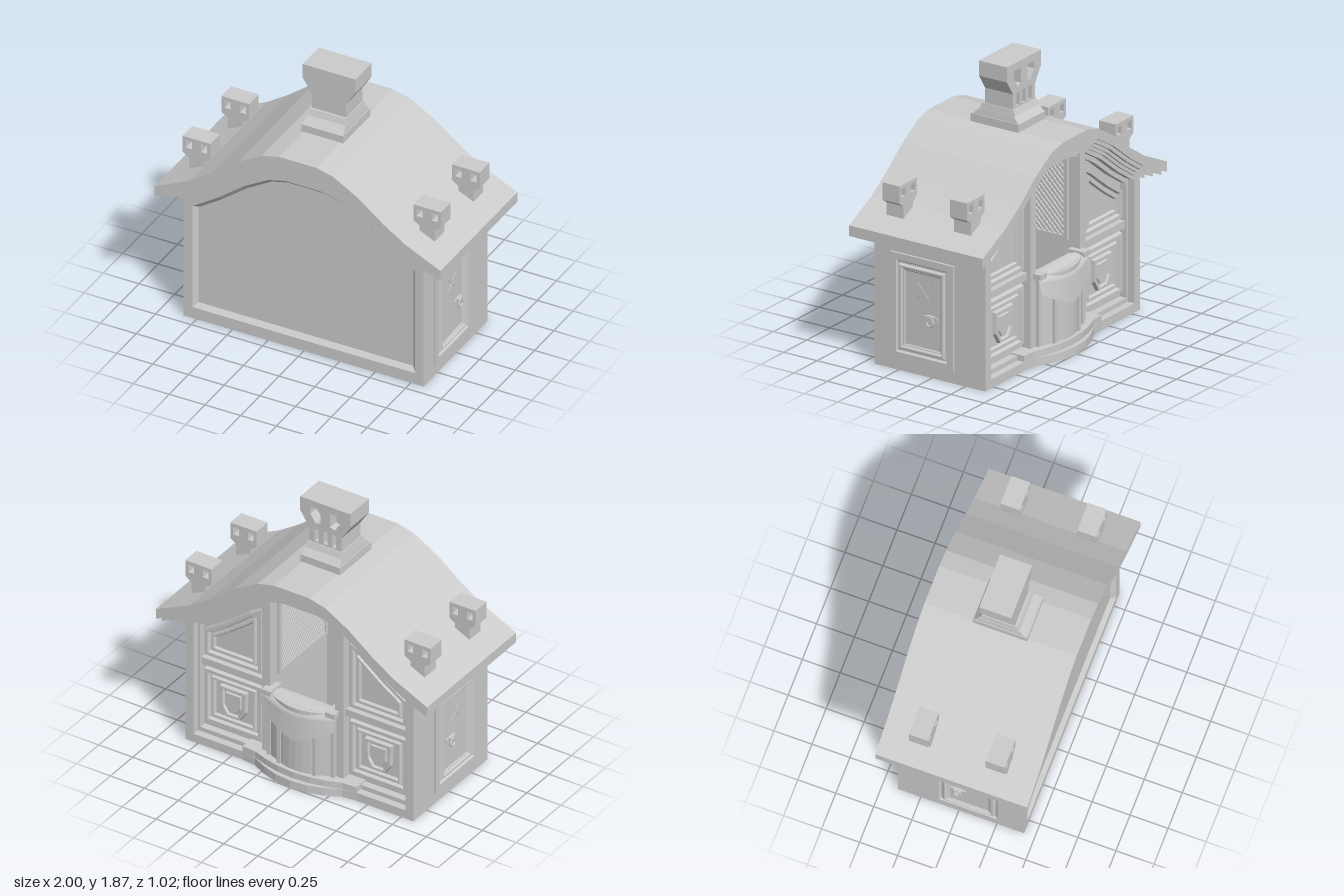
import * as THREE from 'three';

const flat = new THREE.MeshStandardMaterial({ color: 0xcccccc, flatShading: true });
const soft = new THREE.MeshStandardMaterial({ color: 0xcccccc, side: THREE.DoubleSide });

// Right half of the roof curve, from ridge to eaves
const ROOF = [[0.13, 1.44], [0.25, 1.41], [0.42, 1.31], [0.6, 1.17], [0.75, 1.07], [1, 0.95]];

function roofY(x) {
  if (x <= ROOF[0][0]) return ROOF[0][1];
  const i = Math.max(1, ROOF.findIndex(p => p[0] >= x - 1e-6));
  const [a, b] = [ROOF[i - 1], ROOF[i]];
  return a[1] + (b[1] - a[1]) * (x - a[0]) / (b[0] - a[0]);
}

// Roof curve between x0 and x1, lowered by drop, running outwards
function curve(x0, x1, drop) {
  const xs = [x0, ...ROOF.map(p => p[0]).filter(x => x > x0 + 0.01 && x < x1 - 0.01), x1];
  return xs.map(x => [x, roofY(x) - drop]);
}
const mirror = pts => pts.map(([x, y]) => [-x, y]).reverse();

// Full line under the roof, from right to left
function arch(w, drop) {
  const half = curve(0.13, w, drop);
  return [...half.slice().reverse(), ...half.map(([x, y]) => [-x, y])];
}
const gable = (w, y0, drop) => [[-w, y0], [w, y0], ...arch(w, drop)];
const rect = (x0, y0, x1, y1) => [[x0, y0], [x1, y0], [x1, y1], [x0, y1]];
const vecs = pts => pts.map(p => new THREE.Vector2(p[0], p[1]));

function add(parent, name, geo, x = 0, y = 0, z = 0, mat = flat) {
  const m = new THREE.Mesh(geo, mat);
  m.name = name;
  m.position.set(x, y, z);
  parent.add(m);
  return m;
}
const box = (parent, name, w, h, d, x, y, z) => add(parent, name, new THREE.BoxGeometry(w, h, d), x, y, z);

// Outline with optional holes, solid from z0 to z1
function slab(parent, name, pts, z0, z1, holes = []) {
  const s = new THREE.Shape(vecs(pts));
  s.holes = holes.map(h => new THREE.Path(vecs(h)));
  return add(parent, name, new THREE.ExtrudeGeometry(s, { depth: z1 - z0, bevelEnabled: false }), 0, 0, z0);
}

// Plan outline (x, -z) raised from y0 to y1
function raised(parent, name, pts, y0, y1) {
  const m = slab(parent, name, pts, 0, y1 - y0);
  m.geometry.rotateX(-Math.PI / 2);
  m.position.y = y0;
  return m;
}

// Moves every edge of a counter-clockwise outline inwards
function inset(pts, d) {
  return pts.map((p, i) => {
    const a = pts[(i + pts.length - 1) % pts.length], b = pts[(i + 1) % pts.length];
    const n = ([px, py], [qx, qy]) => { const l = Math.hypot(qx - px, qy - py); return [(py - qy) / l, (qx - px) / l]; };
    const [n1, n2] = [n(a, p), n(p, b)];
    const k = d / (1 + n1[0] * n2[0] + n1[1] * n2[1]);
    return [p[0] + (n1[0] + n2[0]) * k, p[1] + (n1[1] + n2[1]) * k];
  });
}

// Moulded panel: steps of [inset, height], closed by a flat centre
function moulded(parent, name, pts, z, steps) {
  const loops = steps.map(([d, h]) => inset(pts, d).map(p => [p[0], p[1], h]));
  const pos = [];
  for (let k = 1; k < loops.length; k++) {
    pts.forEach((_, i) => {
      const j = (i + 1) % pts.length, a = loops[k - 1], b = loops[k];
      pos.push(...a[i], ...a[j], ...b[j], ...a[i], ...b[j], ...b[i]);
    });
  }
  const last = loops[loops.length - 1];
  THREE.ShapeUtils.triangulateShape(vecs(last), []).forEach(f => f.forEach(i => pos.push(...last[i])));
  const g = new THREE.BufferGeometry();
  g.setAttribute('position', new THREE.Float32BufferAttribute(pos, 3));
  g.computeVertexNormals();
  return add(parent, name, g, 0, 0, z);
}

// Box whose top is scaled
function taper(parent, name, w, h, d, kx, kz, y, z) {
  const g = new THREE.BoxGeometry(w, h, d), p = g.attributes.position;
  for (let i = 0; i < p.count; i++) if (p.getY(i) > 0) p.setXYZ(i, p.getX(i) * kx, p.getY(i), p.getZ(i) * kz);
  g.computeVertexNormals();
  return add(parent, name, g, 0, y + h / 2, z);
}

function buildRoof(g) {
  [[0, 0.07, 1, -0.49, 0.51], [0.07, 0.1, 0.97, -0.47, 0.49], [0.1, 0.125, 0.92, -0.44, 0.465], [0.125, 0.15, 0.86, -0.42, 0.445]]
    .forEach(([a, b, w, z0, z1]) => slab(g, 'roofLayer', [...arch(w, b).reverse(), ...arch(w, a)], z0, z1));

  // Central chimney with openings on its rear face only
  box(g, 'chimneyFoot', 0.29, 0.07, 0.36, 0, 1.455, 0.01);
  taper(g, 'chimneySlope', 0.28, 0.04, 0.34, 0.96, 0.78, 1.49, 0.005);
  taper(g, 'chimneyCollar', 0.265, 0.04, 0.265, 0.95, 0.88, 1.53, 0);
  const stack = [[-0.12, 1.55], [0.12, 1.55], [0.12, 1.67], [0.185, 1.77], [0.185, 1.87], [-0.185, 1.87], [-0.185, 1.77], [-0.12, 1.67]];
  const eye = [[0.035, 1.72], [0.07, 1.71], [0.11, 1.77], [0.11, 1.82], [0.035, 1.82]];
  const slots = [-0.065, 0, 0.065].map(x => rect(x - 0.015, 1.58, x + 0.015, 1.67));
  slab(g, 'chimneyStack', stack, -0.04, 0.1);
  slab(g, 'chimneyRearFace', stack, -0.11, -0.04, [eye, mirror(eye), ...slots]);

  // Four small chimney pots with two windows each
  for (const s of [-1, 1]) for (const z of [-0.305, 0.2]) {
    const pot = slab(g, 'chimneyPot', [[-0.053, 0.98], [0.053, 0.98], [0.053, 1.1], [0.097, 1.13], [0.097, 1.245],
      [-0.097, 1.245], [-0.097, 1.13], [-0.053, 1.1]], z, z + 0.125, [rect(-0.075, 1.165, -0.032, 1.22), rect(0.032, 1.165, 0.075, 1.22)]);
    pot.position.x = s * 0.8075;
  }
}

function buildDoor(g, side) {
  const d = new THREE.Group();
  d.name = 'sideDoor';
  d.rotation.y = side * Math.PI / 2;
  d.position.x = side * 0.84;
  g.add(d);
  const c = -side * 0.0675;
  moulded(d, 'doorPanel', rect(c - 0.2375, 0.08, c + 0.2375, 0.78), 0, [[0, 0], [0, 0.016], [0.045, 0.016], [0.055, 0.004],
    [0.065, 0.004], [0.075, 0.018], [0.085, 0.018], [0.095, 0.008], [0.1, 0.008], [0.108, 0.002]]);
  box(d, 'handlePlate', 0.1, 0.02, 0.012, 0, 0.4, 0.01);
  box(d, 'handleBoss', 0.05, 0.03, 0.025, 0, 0.4, 0.016);
  add(d, 'handleRing', new THREE.TorusGeometry(0.026, 0.007, 6, 14), 0, 0.375, 0.026);
  for (const a of [-1, 1]) box(d, 'crossedBar', 0.014, 0.13, 0.004, c, 0.56, 0.004).rotation.z = a * 0.75;
}

// Diagonal lattice on one wall of the middle compartment
function buildLattice(g, side) {
  const [z0, z1, y0, y1] = [-0.26, 0.26, 0.64, 1.16], x = side * 0.245, n = 26;
  const size = z1 - z0, zc = (z0 + z1) / 2, yc = (y0 + y1) / 2;
  for (let i = 1; i < n; i++) {
    const off = (i / n * 2 - 1) * size, len = (size - Math.abs(off)) * Math.SQRT2;
    for (const a of [-1, 1])
      box(g, 'latticeBar', 0.012, len, 0.011, x - side * a * 0.004, yc + off / 2, zc - a * off / 2).rotation.x = a * Math.PI / 4;
  }
  for (const y of [y0, y1]) box(g, 'latticeRail', 0.03, 0.025, size + 0.03, x, y, zc);
  for (const z of [z0, z1]) box(g, 'latticeStile', 0.03, size, 0.025, x, yc, z);
}

// Rear facade, built facing +z and then turned round
function buildFacade(g) {
  const f = new THREE.Group();
  f.name = 'rearFacade';
  f.rotation.y = Math.PI;
  g.add(f);
  slab(f, 'outerFrame', gable(0.84, 0, 0.13), 0.35, 0.4, [gable(0.78, 0.06, 0.18)]);
  slab(f, 'innerFrame', gable(0.84, 0, 0.13), 0.29, 0.35, [gable(0.765, 0.09, 0.215)]);
  const steps = [[0, 0], [0.008, 0.035], [0.03, 0.035], [0.038, 0.012], [0.05, 0.012], [0.058, 0.028], [0.07, 0.028], [0.078, 0.01]];
  const upper = [[0.32, 0.62], [0.75, 0.62], ...curve(0.32, 0.75, 0.26).reverse()];
  const shield = [[-0.1, 0.11], [-0.095, -0.04], [-0.05, -0.11], [0.05, -0.11], [0.095, -0.04], [0.1, 0.11]];
  for (const s of [-1, 1]) {
    moulded(f, 'upperPanel', s > 0 ? upper : mirror(upper), 0.3, steps);
    const low = rect(0.32, 0.13, 0.75, 0.53);
    moulded(f, 'lowerPanel', s > 0 ? low : mirror(low), 0.3, steps);
    moulded(f, 'shield', shield.map(([x, y]) => [x + s * 0.535, y + 0.33]), 0.31, [[0, 0], [0.006, 0.025], [0.022, 0.025], [0.03, 0.01], [0.04, 0.01], [0.046, 0.02]]);
    box(f, 'middleRail', 0.53, 0.05, 0.045, s * 0.51, 0.575, 0.315);
    slab(f, 'openingPost', s > 0 ? [[0.24, 0.06], [0.3, 0.06], [0.3, 1.2], [0.24, 1.25]] : [[-0.3, 0.06], [-0.24, 0.06], [-0.24, 1.25], [-0.3, 1.2]], 0.29, 0.365);
    box(f, 'armrest', 0.07, 0.035, 0.12, s * 0.235, 0.57, 0.36);
  }
}

// Bowed step, half door and hanging cloth at the middle of the rear
function buildCounter(g) {
  const bow = k => {
    const half = [[0.42, 0], [0.32, 0.012], [0.22, 0.06], [0.12, 0.092]];
    return [...half.map(([x, y]) => [x, 0.4 + y * k]), [0, 0.4 + 0.106 * k], ...half.slice().reverse().map(([x, y]) => [-x, 0.4 + y * k])];
  };
  raised(g, 'bowedStep', [[-0.42, 0.3], [0.42, 0.3], ...bow(1)], 0, 0.055);
  raised(g, 'bowedMoulding', [[-0.42, 0.3], [0.42, 0.3], ...bow(0.7)], 0.055, 0.1);
  const front = x => 0.37 + 0.08 * Math.cos(x / 0.25 * Math.PI / 2);
  const xs = [0.25, 0.2, 0.15, 0.1, 0.05, 0, -0.05, -0.1, -0.15, -0.2, -0.25];
  const door = (back, out) => [[-0.25, back], [0.25, back], ...xs.map(x => [x, front(x) + out])];
  raised(g, 'halfDoor', door(0.32, 0), 0.06, 0.54);
  raised(g, 'halfDoorCap', door(0.31, 0.012), 0.535, 0.565);
  for (const x of [-0.235, -0.13, 0.13, 0.235]) box(g, 'halfDoorPost', 0.025, 0.45, 0.03, x, 0.32, -front(x));

  const cloth = new THREE.PlaneGeometry(2, 1, 20, 10), p = cloth.attributes.position;
  for (let i = 0; i < p.count; i++) {
    const u = p.getX(i), v = 0.5 - p.getY(i), x = u * 0.27, c = 1 - Math.abs(u);
    const over = Math.min(1, v * 4), fall = Math.max(0, v - 0.15) / 0.85;
    const bulge = 0.055 * Math.cos(u * Math.PI / 2);
    p.setXYZ(i, x, 0.578 - 0.012 * over - fall * (0.1 + 0.13 * Math.pow(c, 0.8)), -(0.35 + over * (0.055 + bulge) + 0.022 * fall));
  }
  cloth.computeVertexNormals();
  add(g, 'hangingCloth', cloth, 0, 0, 0, soft);
}

export function createModel() {
  const g = new THREE.Group();
  g.name = 'booth';
  buildRoof(g);

  // Side compartments, floor and front wall
  const sideBlock = [[0.25, 0], [0.84, 0], ...curve(0.25, 0.84, 0.13).reverse()];
  for (const s of [-1, 1]) {
    slab(g, 'sideCompartment', s > 0 ? sideBlock : mirror(sideBlock), -0.3, 0.395);
    buildDoor(g, s);
    buildLattice(g, s);
  }
  box(g, 'floor', 0.52, 0.06, 0.78, 0, 0.03, 0);
  slab(g, 'frontWall', gable(0.84, 0, 0.13), 0.29, 0.395);
  const recess = gable(0.78, 0.08, 0.225);
  slab(g, 'frontFrame', gable(0.84, 0, 0.13), 0.39, 0.43, [recess]);
  moulded(g, 'frontRecess', recess, 0.43, [[0, 0], [0.028, -0.03]]);

  buildFacade(g);
  buildCounter(g);
  return g;
}
